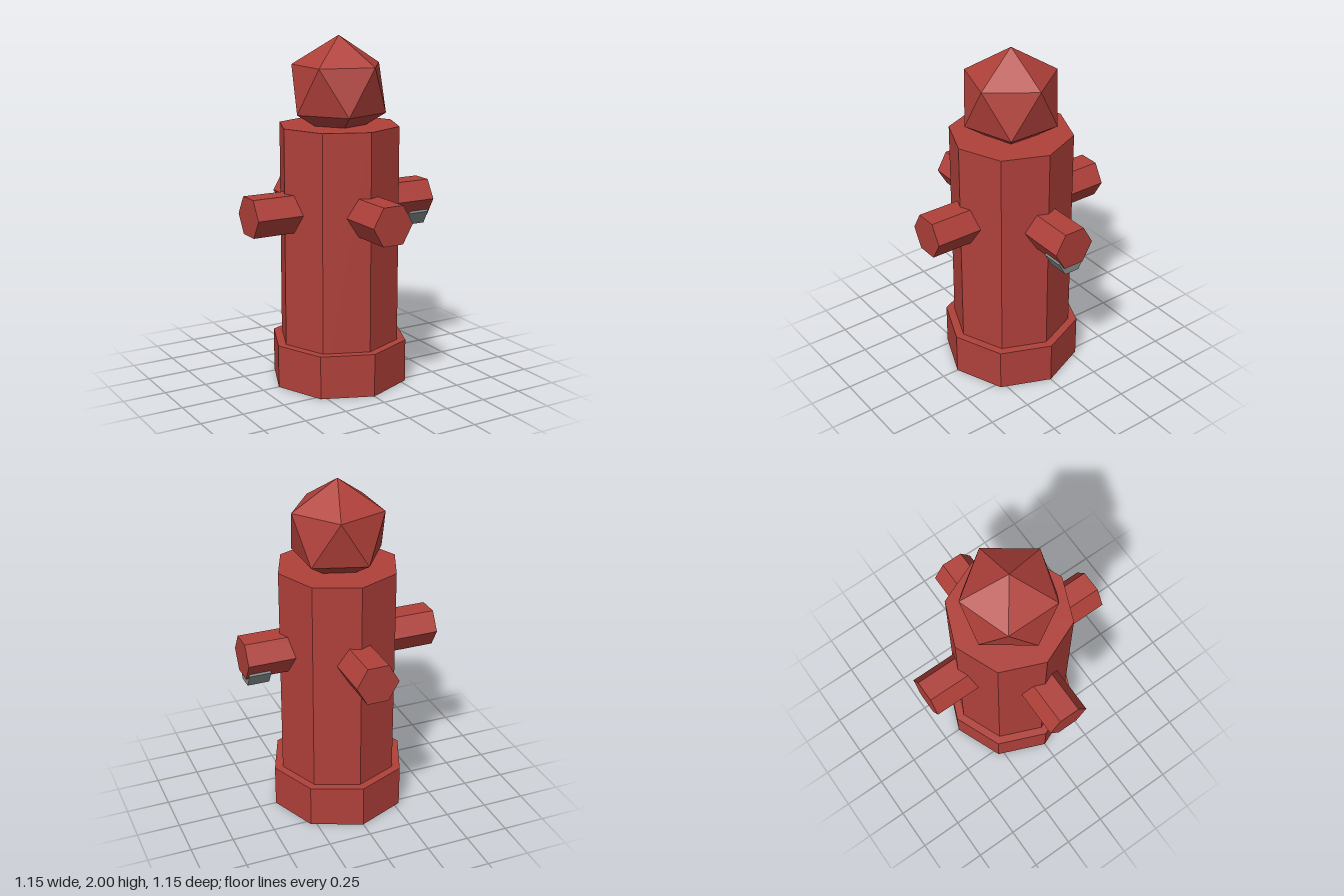
import * as THREE from 'three';

export function createModel() {
  const group = new THREE.Group();
  const red = new THREE.MeshStandardMaterial({ color: 0xb0403a });
  red.name = 'hydrantRed';
  red.flatShading = true;
  const grey = new THREE.MeshStandardMaterial({ color: 0x868b8b });
  grey.name = 'metalGrey';
  grey.flatShading = true;

  function add(name, geometry, material, x, y, z) {
    const mesh = new THREE.Mesh(geometry, material);
    mesh.name = name;
    mesh.position.set(x, y, z);
    group.add(mesh);
    return mesh;
  }

  // six-sided bar along x, flat on top and bottom
  const hexBar = (radius, length) =>
    new THREE.CylinderGeometry(radius, radius, length, 6).rotateZ(Math.PI / 2);

  // octagonal foot and barrel
  add('base', new THREE.CylinderGeometry(0.4, 0.4, 0.25, 8), red, 0, 0.125, 0);
  add('barrel', new THREE.CylinderGeometry(0.35, 0.35, 1.5, 8), red, 0, 0.75, 0);

  // faceted cap, turned so one corner points straight up
  const tilt = Math.atan(2 / (1 + Math.sqrt(5)));
  add('cap', new THREE.IcosahedronGeometry(0.298, 0).rotateZ(-tilt), red, 0, 1.702, 0);

  // crossing outlets, each bar passing through the barrel
  const armHeight = 1.027;
  add('sideOutlets', hexBar(0.124, 1.15), red, 0, armHeight, 0);
  add('frontBackOutlets', hexBar(0.124, 1.15).rotateY(Math.PI / 2), red, 0, armHeight, 0);

  // metal fitting under the left outlet
  add('outletFitting', hexBar(0.09, 0.127), grey, 0.498, 0.946, 0);

  return group;
}
